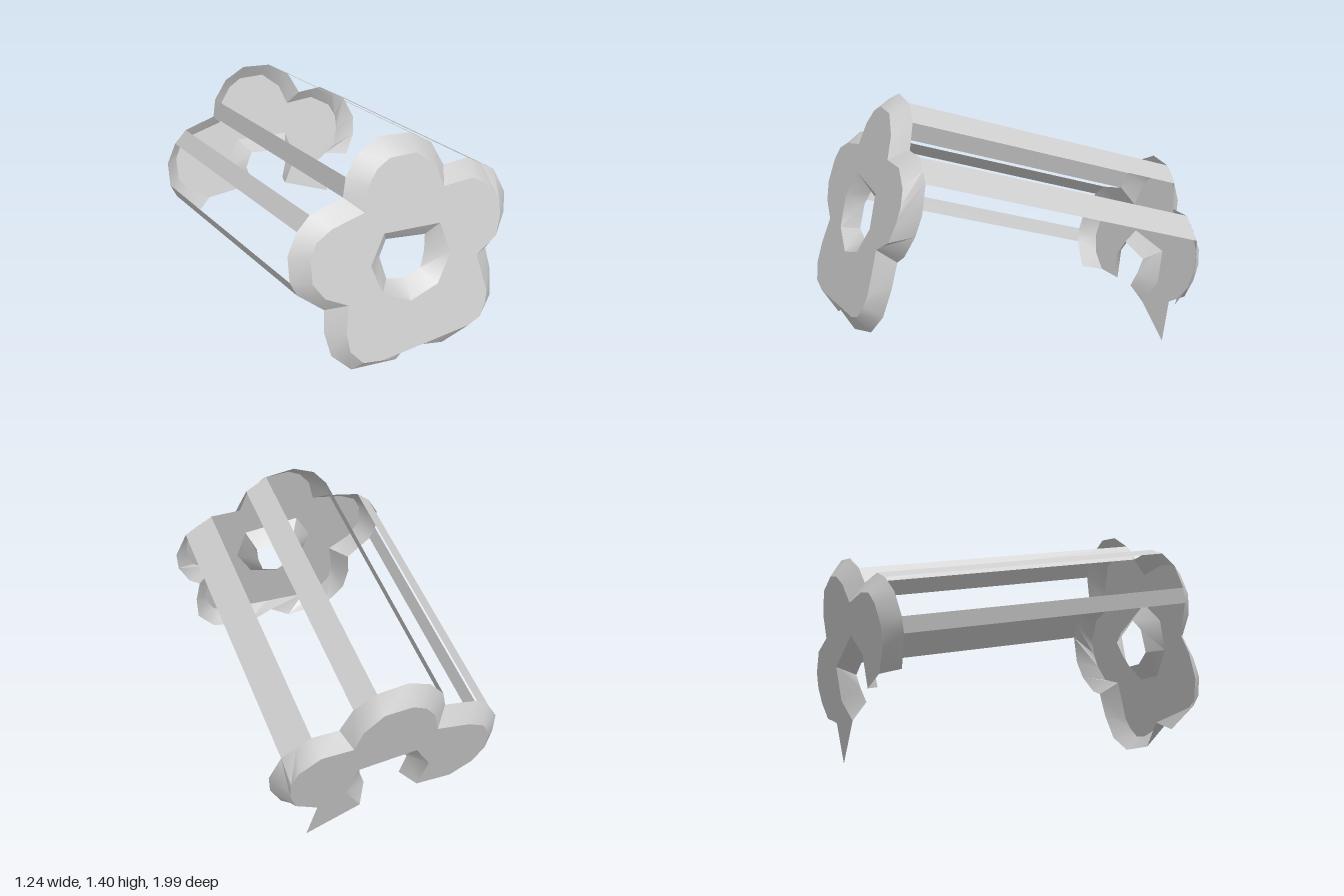
import * as THREE from 'three';
import { toCreasedNormals } from 'three/addons/utils/BufferGeometryUtils.js';

const TILT = Math.asin(0.284);
const SIN = Math.sin(TILT), COS = Math.cos(TILT);
const FRONT = { face: 1.06, rim: 0.98 };
const BACK = { face: -0.71, rim: -0.63 };

// Flower outline, counter-clockwise: rim x, rim height, face x, face height
const PETALS = [
  [0.489, 0.541, 0.407, 0.503], [0.474, 0.667, 0.37, 0.712], [0.537, 0.708, 0.43, 0.743],
  [0.604, 0.82, 0.493, 0.775], [0.619, 0.924, 0.53, 0.875], [0.567, 1.061, 0.533, 0.96],
  [0.495, 1.112, 0.5, 1.035], [0.422, 1.162, 0.392, 1.113], [0.28, 1.169, 0.225, 1.121],
  [0.225, 1.299, 0.19, 1.235], [0.115, 1.378, 0.095, 1.329], [-0.046, 1.405, -0.05, 1.344],
  [-0.169, 1.359, -0.125, 1.31], [-0.255, 1.266, -0.185, 1.24], [-0.284, 1.173, -0.221, 1.125],
  [-0.467, 1.143, -0.4, 1.1], [-0.545, 1.084, -0.49, 1.06], [-0.612, 0.983, -0.533, 0.987],
  [-0.623, 0.853, -0.541, 0.868], [-0.597, 0.779, -0.489, 0.775], [-0.47, 0.656, -0.374, 0.7],
  [-0.489, 0.541, -0.405, 0.56], [-0.47, 0.407, -0.4, 0.46], [-0.374, 0.296, -0.34, 0.377],
  [-0.121, 0.255, -0.236, 0.351], [0, 0.333, 0, 0.352], [0.158, 0.247, 0.28, 0.355],
  [0.374, 0.296, 0.348, 0.377], [0.472, 0.4, 0.39, 0.44],
];
const LEFT_NOTCH = 20;

// Centre hole funnel, counter-clockwise: inner x, inner height, face x, face height
const HOLE = [
  [0.084, 0.69, 0.128, 0.641], [0.117, 0.772, 0.221, 0.779], [0.132, 0.853, 0.18, 0.946],
  [-0.087, 0.898, -0.132, 0.991], [-0.136, 0.82, -0.225, 0.853], [-0.113, 0.697, -0.184, 0.697],
  [-0.013, 0.667, -0.035, 0.604],
];

// Heights are given on the front plate; convert to the tilted plate's plane
const flat = (x, y, w) => new THREE.Vector2(x, (y - SIN * w) / COS);
const rimPts = (rows) => rows.map((r) => flat(r[0], r[1], FRONT.rim));
const facePts = (rows) => rows.map((r) => flat(r[2], r[3], FRONT.face));

// Surface spanned between two rows of points at depths wa and wb
function ruled(a, wa, b, wb, closed) {
  const pos = [], index = [], n = a.length;
  for (let i = 0; i < n; i++) pos.push(a[i].x, a[i].y, wa, b[i].x, b[i].y, wb);
  for (let i = 0; i < (closed ? n : n - 1); i++) {
    const p = 2 * i, q = 2 * ((i + 1) % n);
    if (wa < wb) index.push(p, q, p + 1, q, q + 1, p + 1);
    else index.push(p, p + 1, q, q, p + 1, q + 1);
  }
  const g = new THREE.BufferGeometry();
  g.setAttribute('position', new THREE.Float32BufferAttribute(pos, 3));
  g.setIndex(index);
  return toCreasedNormals(g, 0.6);
}

export function createModel() {
  const grey = new THREE.MeshStandardMaterial({ color: 0xcccccc, side: THREE.DoubleSide });
  grey.name = 'light grey';
  const model = new THREE.Group();
  model.name = 'flowerFrame';
  model.rotation.x = -TILT;

  const add = (name, geometry, parent) => {
    const mesh = new THREE.Mesh(geometry, grey);
    mesh.name = name;
    parent.add(mesh);
    return mesh;
  };

  // A dished plate: flat face, flared petal wall and funnel around the hole
  const plate = (name, depth, shape, wallRows, holeRows, closed) => {
    const group = new THREE.Group();
    group.name = name;
    const face = new THREE.ShapeGeometry(shape);
    if (depth.face < 0) face.index.array.reverse();
    if (depth.face < 0) face.attributes.normal.array.fill(0).forEach((_, i, n) => { if (i % 3 === 2) n[i] = -1; });
    face.translate(0, 0, depth.face);
    add('face', face, group);
    add('petalWall', ruled(rimPts(wallRows), depth.rim, facePts(wallRows), depth.face, closed), group);
    add('holeFunnel', ruled(facePts(holeRows), depth.face, rimPts(holeRows), depth.rim, closed), group);
    model.add(group);
  };

  // Whole front plate
  const whole = new THREE.Shape(facePts(PETALS));
  whole.holes.push(new THREE.Path(facePts(HOLE).reverse()));
  plate('frontPlate', FRONT, whole, PETALS, HOLE, true);

  // Back plate with its lower part broken away up to the hole
  const kept = HOLE.slice(0, 6);
  const broken = new THREE.Shape([
    ...facePts(PETALS.slice(0, LEFT_NOTCH + 1)),
    ...facePts(kept).reverse(),
  ]);
  plate('backPlate', BACK, broken, PETALS.slice(2, LEFT_NOTCH + 1), kept, false);

  // Thin strips joining matching rim edges of both plates
  for (const [a, b] of [[5, 7], [9, 10], [13, 14], [15, 16], [18, 19]]) {
    const edge = rimPts([PETALS[a], PETALS[b]]);
    add('strip', ruled(edge, BACK.rim, edge, FRONT.rim, false), model);
  }

  const root = new THREE.Group();
  root.name = 'model';
  root.add(model);
  return root;
}
